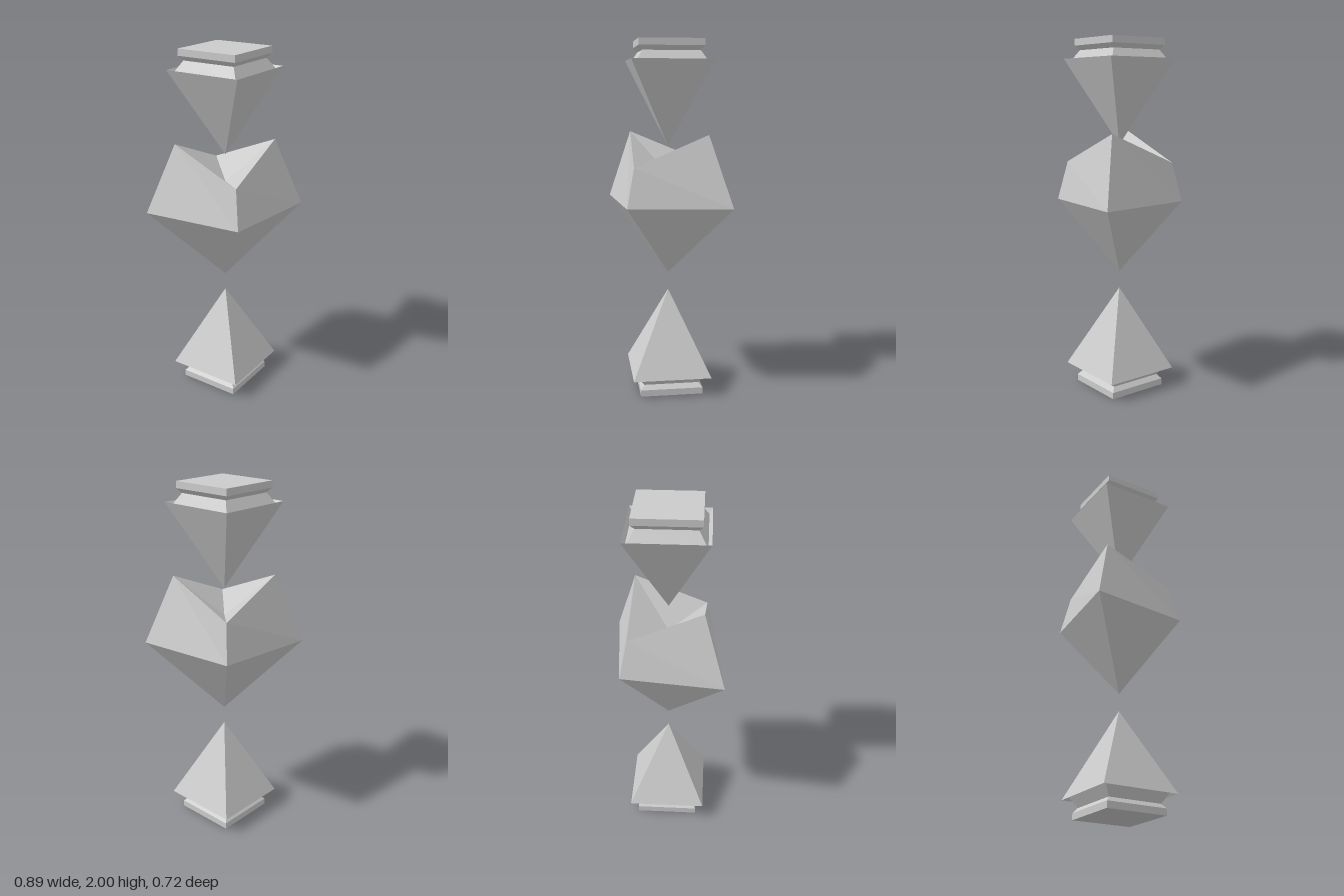
import * as THREE from 'three';

const material = new THREE.MeshStandardMaterial({ color: 0xcccccc, flatShading: true });

// Four-sided solid turned from a [radius, height] profile, corners on the x and z axes
function fourSided(profile) {
  return new THREE.LatheGeometry(profile.map(([r, y]) => new THREE.Vector2(r, y)), 4);
}

function addMesh(group, name, geometry) {
  const flat = geometry.toNonIndexed();
  flat.computeVertexNormals();
  const mesh = new THREE.Mesh(flat, material);
  mesh.name = name;
  group.add(mesh);
  return mesh;
}

// Faceted heart: stretched diamond with two raised lobes and a sunken centre
function heartGeometry() {
  const girdle = 1.1, rim = 1.4;
  const geometry = fourSided([[0, 0.684], [1, girdle], [1, rim], [0, 1.26]]);
  const p = geometry.attributes.position;
  for (let i = 0; i < p.count; i++) {
    const x = p.getX(i), y = p.getY(i), z = p.getZ(i);
    if (Math.abs(y - girdle) < 0.01) {
      p.setXYZ(i, x * 0.447, y, z * 0.358);
    } else if (Math.abs(y - rim) < 0.01) {
      p.setXYZ(i, x * 0.28, Math.abs(x) > 0.5 ? 1.49 : 1.318, z * 0.298);
    }
  }
  return geometry;
}

export function createModel() {
  const model = new THREE.Group();
  model.name = 'heartCrystal';

  // Spike: foot plate, undercut neck running into a groove, then the pyramid
  const spike = fourSided([
    [0, 0], [0.252, 0], [0.252, 0.037], [0.222, 0.062],
    [0.288, 0.137], [0.314, 0.108], [0, 0.583],
  ]);
  addMesh(model, 'lowerSpike', spike);

  // Same spike hanging upside down
  const upper = addMesh(model, 'upperSpike', spike);
  upper.rotation.x = Math.PI;
  upper.position.y = 2;

  addMesh(model, 'heart', heartGeometry());
  return model;
}
